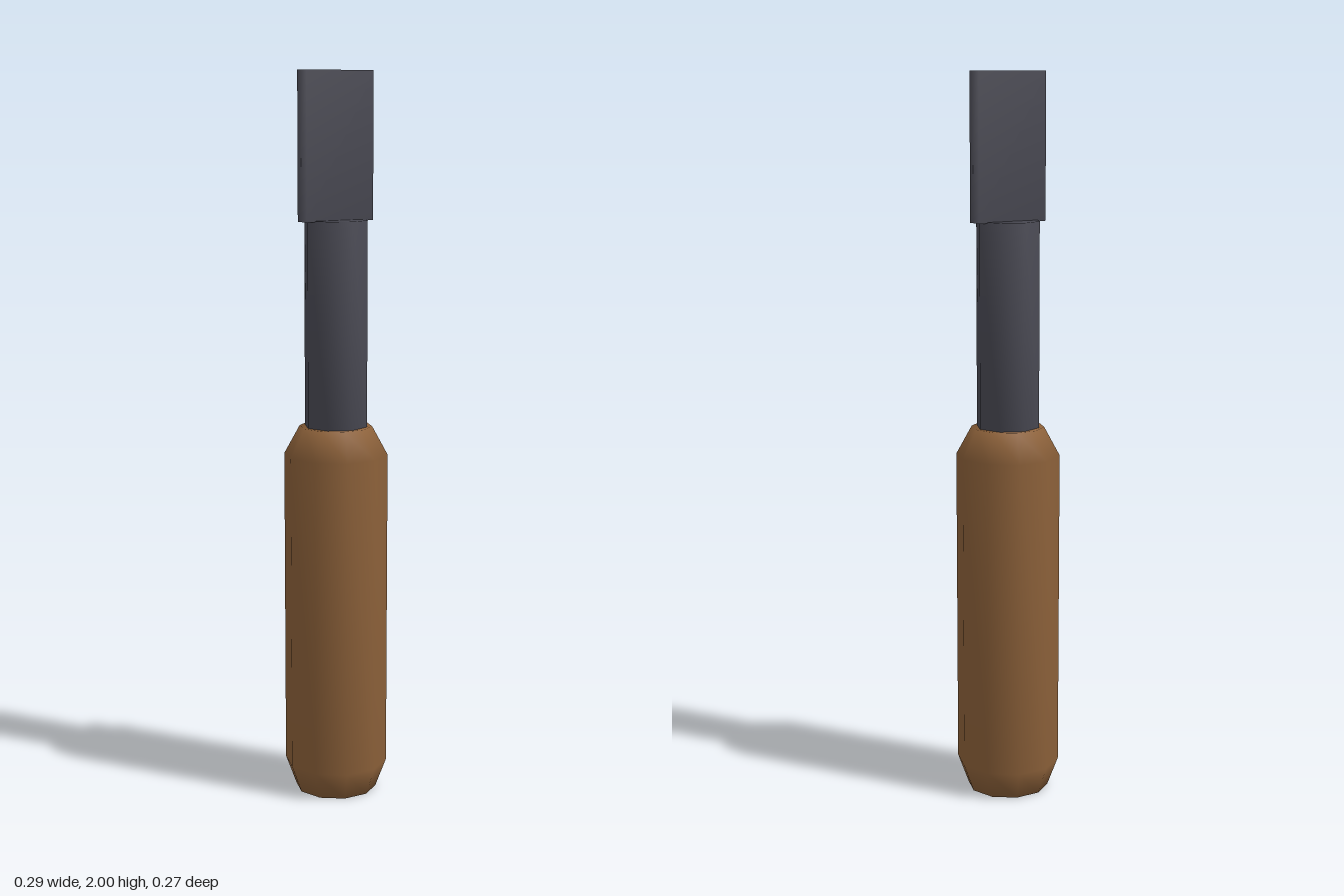
import * as THREE from 'three';
import { mergeVertices } from 'three/addons/utils/BufferGeometryUtils.js';

// Weld shared corners so that shading runs smoothly over the low-poly edges
function weld(geometry) {
  geometry.deleteAttribute('uv');
  geometry.deleteAttribute('normal');
  const welded = mergeVertices(geometry, 1e-4);
  welded.computeVertexNormals();
  return welded;
}

// Closed turned solid from [radius, y] points, listed bottom to top
function turned(profile, sides, startAngle) {
  const points = profile.map(([r, y]) => new THREE.Vector2(r, y));
  return weld(new THREE.LatheGeometry(points, sides, startAngle));
}

export function createModel() {
  const wood = new THREE.MeshStandardMaterial({ name: 'brown wood', color: 0x8b6039 });
  const steel = new THREE.MeshStandardMaterial({ name: 'dark steel', color: 0x4a4a54 });

  const model = new THREE.Group();
  model.name = 'chisel';
  const add = (name, geometry, material) => {
    const mesh = new THREE.Mesh(geometry, material);
    mesh.name = name;
    model.add(mesh);
    return mesh;
  };

  // Ten-sided handle with bevelled ends
  add('handle', turned(
    [[0, 0], [0.113, 0], [0.143, 0.08], [0.143, 0.963], [0.1, 1.042], [0, 1.042]],
    10, Math.PI / 2), wood);

  // Eight-sided shank
  add('shank', turned([[0, 1.03], [0.088, 1.03], [0.088, 1.605], [0, 1.605]], 8, 0), steel);

  // Flat blade
  add('blade', weld(new THREE.BoxGeometry(0.208, 0.398, 0.047)), steel)
    .position.set(0, 1.801, -0.001);

  return model;
}
